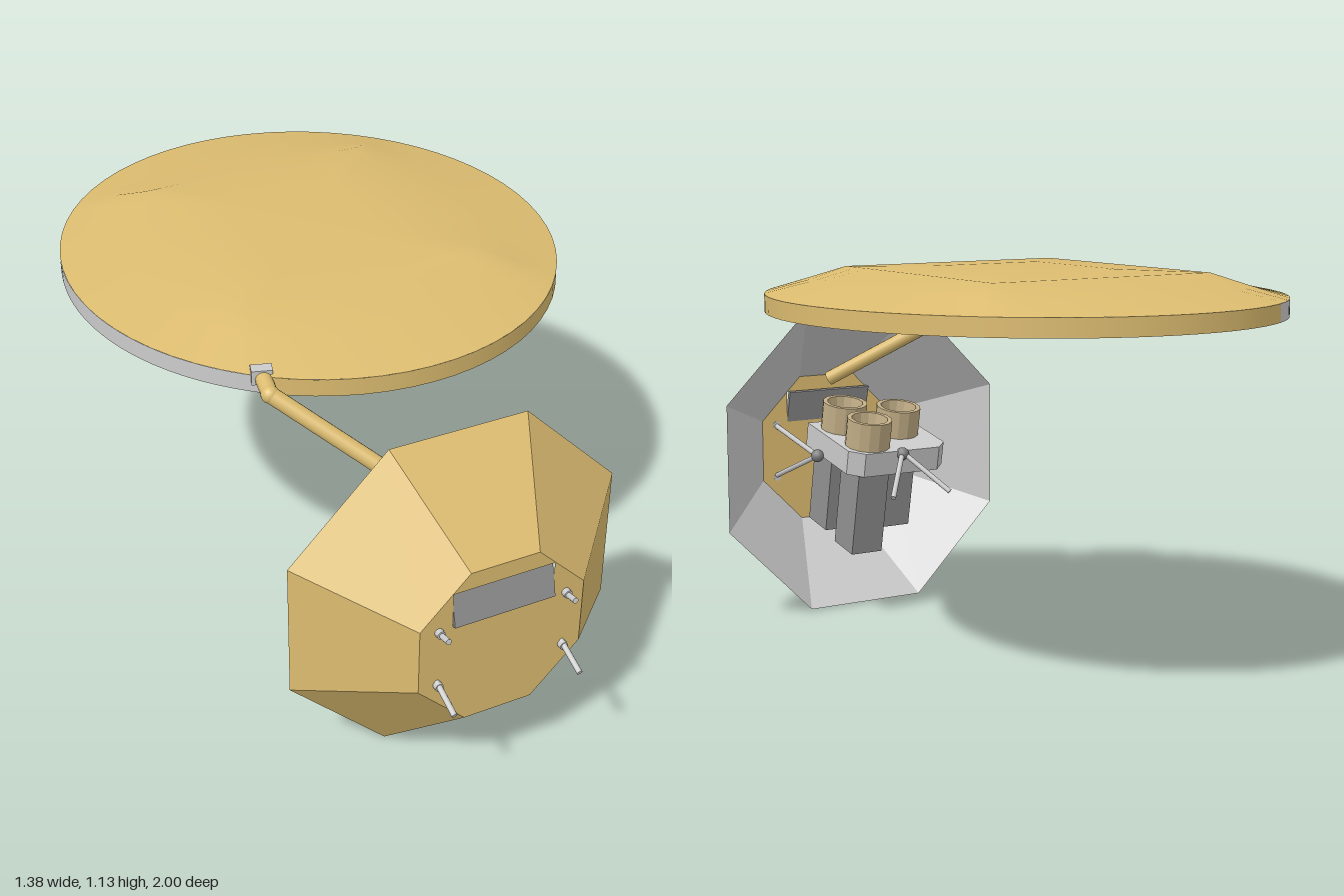
import * as THREE from 'three';

const mat = (color, extra = {}) => new THREE.MeshStandardMaterial({ color, ...extra });
const grey = mat(0xcccccc);
const greyFlat = mat(0xcccccc, { flatShading: true });
const darkFlat = mat(0x929292, { flatShading: true });
const dark = mat(0x808080);
const gold = mat(0xdcbc70);
const goldFlat = mat(0xdcbc70, { flatShading: true });
const goldSheet = mat(0xdcbc70, { side: THREE.DoubleSide });
const tanFlat = mat(0xc4b088, { flatShading: true });

function add(parent, name, geometry, material, x = 0, y = 0, z = 0) {
  const mesh = new THREE.Mesh(geometry, material);
  mesh.name = name;
  mesh.position.set(x, y, z);
  parent.add(mesh);
  return mesh;
}

// Straight round rod between two points
function rod(parent, name, a, b, radius, material, sides = 10) {
  const from = new THREE.Vector3(...a);
  const dir = new THREE.Vector3(...b).sub(from);
  const mesh = add(parent, name, new THREE.CylinderGeometry(radius, radius, dir.length(), sides), material);
  mesh.position.copy(from).addScaledVector(dir, 0.5);
  mesh.quaternion.setFromUnitVectors(new THREE.Vector3(0, 1, 0), dir.normalize());
}

// Round sheet rising to a raised square plateau; profile radius 0.5 is pushed out to the square
function plateauSheet(profile) {
  const geometry = new THREE.LatheGeometry(profile.map(p => new THREE.Vector2(...p)), 64);
  const pos = geometry.attributes.position;
  for (let i = 0; i < pos.count; i++) {
    const x = pos.getX(i), z = pos.getZ(i), r = Math.hypot(x, z);
    if (r < 1e-6) continue;
    const toSquare = r / Math.max(Math.abs(x), Math.abs(z));
    const reach = r <= 0.5 ? toSquare : 1 + (toSquare - 1) * (1 - r) / r;
    pos.setX(i, x * reach);
    pos.setZ(i, z * reach);
  }
  geometry.computeVertexNormals();
  return geometry;
}

// Elliptical lid: raised top, rim and hollow underside
function createLid() {
  const lid = new THREE.Group();
  lid.name = 'lid';
  lid.position.set(0, 1.012, -0.25);
  lid.scale.set(0.69, 1, 0.75);
  const top = [[1, 0.049], [0.75, 0.08], [0.5, 0.112], [0.25, 0.117], [0, 0.118]];
  const under = top.map(([r, y]) => [r, y - 0.049]).reverse();
  add(lid, 'lidTop', plateauSheet(top), gold);
  add(lid, 'lidUnderside', plateauSheet(under), grey);
  const greyStart = -2.6, greyLength = 1.98;
  const rim = (start, length) => new THREE.CylinderGeometry(1, 1, 0.049, 48, 1, true, start, length);
  add(lid, 'lidRim', rim(greyStart + greyLength, Math.PI * 2 - greyLength), gold, 0, 0.0245);
  add(lid, 'lidRimBare', rim(greyStart, greyLength), grey, 0, 0.0245);
  return lid;
}

// Octagonal shield: gold outside, bare inside, front plate with a radiator window
function createShield() {
  const shield = new THREE.Group();
  shield.name = 'shield';
  shield.position.set(0, 0.478, 0);
  const walls = inset => new THREE.CylinderGeometry(0.257 - inset, 0.519 - inset, 0.255, 8, 1, true, Math.PI / 8)
    .rotateX(Math.PI / 2).toNonIndexed();
  const inside = walls(0.003).scale(-1, 1, 1);
  inside.computeVertexNormals();
  add(shield, 'shieldOutside', walls(0), goldFlat, 0, 0, 0.7775);
  add(shield, 'shieldInside', inside, greyFlat, 0, 0, 0.7775);

  const corners = (list, Type) => new Type(list.map(p => new THREE.Vector2(...p)));
  const octagon = Array.from({ length: 8 }, (_, i) => {
    const a = (i + 0.5) * Math.PI / 4;
    return [0.257 * Math.cos(a), 0.257 * Math.sin(a)];
  });
  const plate = corners(octagon, THREE.Shape);
  plate.holes.push(corners([[-0.145, 0.09], [-0.145, 0.188], [0.145, 0.188], [0.145, 0.09]], THREE.Path));
  add(shield, 'shieldFrontPlate', new THREE.ShapeGeometry(plate), goldSheet, 0, 0, 0.905);
  const radiator = add(shield, 'radiatorPanel', new THREE.BoxGeometry(0.29, 0.104, 0.012), darkFlat, 0, 0.139, 0.9);
  radiator.rotation.x = -0.25;
  return shield;
}

// Hinged boom carrying the lid
function createBoom() {
  const boom = new THREE.Group();
  boom.name = 'boom';
  const elbow = [-0.41, 1.04, 0.41], hinge = [-0.4, 1.05, 0.345];
  rod(boom, 'boomTube', [0.03, 0.71, 0.83], elbow, 0.022, gold, 16);
  add(boom, 'boomElbow', new THREE.SphereGeometry(0.024, 16, 12), gold, ...elbow);
  rod(boom, 'boomEnd', elbow, hinge, 0.022, gold, 16);
  const block = add(boom, 'hingeBlock', new THREE.BoxGeometry(0.055, 0.04, 0.035), greyFlat, -0.4, 1.055, 0.337);
  block.rotation.y = -0.3;
  return boom;
}

// Tilted bench with three telescopes
function createInstrument() {
  const unit = new THREE.Group();
  unit.name = 'instrument';
  unit.position.set(0, 0.525, 0.57);
  unit.rotation.x = -0.2;

  const outline = [[-0.17, -0.15], [-0.17, 0.12], [-0.13, 0.16], [0.13, 0.16], [0.17, 0.12], [0.17, -0.15]];
  const bench = new THREE.ExtrudeGeometry(new THREE.Shape(outline.map(p => new THREE.Vector2(...p))),
    { depth: 0.075, bevelEnabled: false });
  bench.translate(0, 0, -0.0375).rotateX(-Math.PI / 2);
  add(unit, 'bench', bench, greyFlat);

  const cup = [[0.07, 0], [0.07, 0.088], [0.056, 0.088], [0.046, 0.03], [0, 0.03]]
    .map(p => new THREE.Vector2(...p));
  // Each telescope: baffle x and z, then detector box x, z and depth
  const telescopes = [
    [-0.065, 0, -0.085, 0.045, 0.28],
    [0.085, 0.075, 0.095, 0.075, 0.28],
    [0.085, -0.085, 0.085, -0.085, 0.3],
  ];
  for (const [x, z, boxX, boxZ, depth] of telescopes) {
    add(unit, 'telescopeBaffle', new THREE.LatheGeometry(cup, 14), tanFlat, x, 0.037, z);
    add(unit, 'telescopeLens', new THREE.CylinderGeometry(0.036, 0.036, 0.02, 14), dark, x, 0.075, z);
    add(unit, 'detectorBox', new THREE.BoxGeometry(0.105, depth, 0.115), darkFlat, boxX, -depth / 2, boxZ);
  }
  return unit;
}

// Three pairs of struts, two at the sides and one behind
function createStruts() {
  const struts = new THREE.Group();
  struts.name = 'struts';
  const knobShape = new THREE.SphereGeometry(0.02, 12, 8);
  for (const s of [-1, 1]) {
    const knob = [s * 0.185, 0.5, 0.62];
    add(struts, 'strutKnob', knobShape, dark, ...knob);
    rod(struts, 'upperStrut', knob, [s * 0.183, 0.566, 0.955], 0.008, grey);
    rod(struts, 'lowerStrut', knob, [s * 0.184, 0.36, 1.0], 0.008, grey);
    for (const [y, z] of [[0.56, 0.912], [0.388, 0.912]]) {
      const collar = add(struts, 'strutCollar', new THREE.CylinderGeometry(0.012, 0.012, 0.016, 12), grey, s * 0.184, y, z);
      collar.rotation.x = Math.PI / 2;
    }
    rod(struts, 'rearStrut', [0, 0.525, 0.41], [s * 0.1, 0.41, 0.295], 0.008, grey);
  }
  add(struts, 'rearKnob', knobShape, dark, 0, 0.52, 0.41);
  return struts;
}

export function createModel() {
  const model = new THREE.Group();
  model.name = 'spaceTelescope';
  model.add(createLid(), createShield(), createBoom(), createInstrument(), createStruts());
  return model;
}
